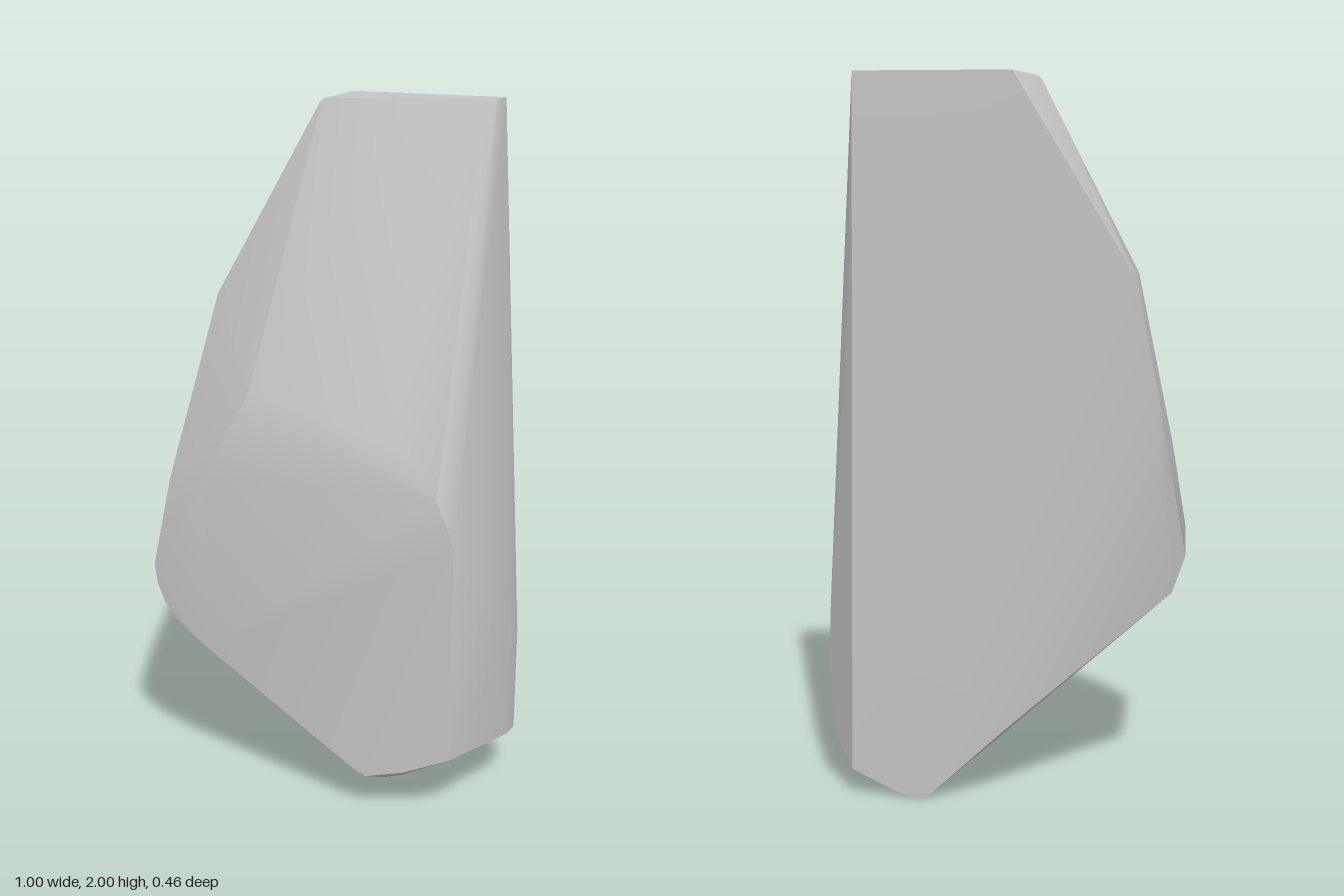
import * as THREE from 'three';
import { ConvexGeometry } from 'three/addons/geometries/ConvexGeometry.js';
import { toCreasedNormals } from 'three/addons/utils/BufferGeometryUtils.js';

// Corner rings of the faceted stone, each point is [x, y, z]
const top = [
  [-0.03, 2, -0.22], [-0.09, 1.99, -0.13], [-0.1, 1.98, -0.13], [0.13, 2, -0.13],
  [0.35, 2, -0.16], [0.38, 2, -0.175], [0.395, 2, -0.22],
];
const shoulder = [
  [-0.36, 1.46, -0.23], [-0.36, 1.46, 0], [-0.2, 1.25, 0.21], [0.2, 1.14, 0.215],
  [0.33, 1, 0.23], [0.38, 0.87, 0.23], [-0.33, 1, 0.225], [0.4, 1.5, -0.23],
];
const leftFlank = [
  [-0.43, 1.11, -0.23], [-0.42, 1.15, 0.1], [-0.46, 0.95, 0.16], [-0.5, 0.7, 0.2],
  [-0.5, 0.68, -0.08], [-0.492, 0.64, 0.2], [-0.47, 0.59, 0.205], [-0.465, 0.58, -0.1],
  [-0.44, 0.545, 0.21], [-0.4, 0.51, 0.215], [-0.33, 0.47, 0.23],
];
const rightFlank = [
  [0.5, 0.48, 0], [0.5, 0.48, -0.12], [0.477, 0.85, -0.118],
  [0.38, 0.22, 0.23], [0.5, 0.2, 0], [0.5, 0.16, -0.12], [0.42, 0.08, -0.23],
];
const base = [
  [0.3, 0.02, -0.23], [0.24, 0.002, -0.23], [0.21, 0.003, -0.23], [0, 0.2, -0.23],
  [0.2, 0.04, 0.05], [0.17, 0.085, 0.15], [0.14, 0.13, 0.23], [0.1, 0.15, 0.23],
  [0.25, 0.16, 0.23], [0.22, 0, -0.23],
];

export function createModel() {
  const group = new THREE.Group();
  group.name = 'rock';
  const stone = new THREE.MeshStandardMaterial({ color: 0xc4c4c4 });
  stone.name = 'stone grey';

  // Convex stone with softened shallow facets and sharp main edges
  const points = [top, shoulder, leftFlank, rightFlank, base]
    .flat()
    .map((p) => new THREE.Vector3(...p));
  const body = new THREE.Mesh(toCreasedNormals(new ConvexGeometry(points), 0.52), stone);
  body.name = 'stoneBody';
  group.add(body);
  return group;
}
